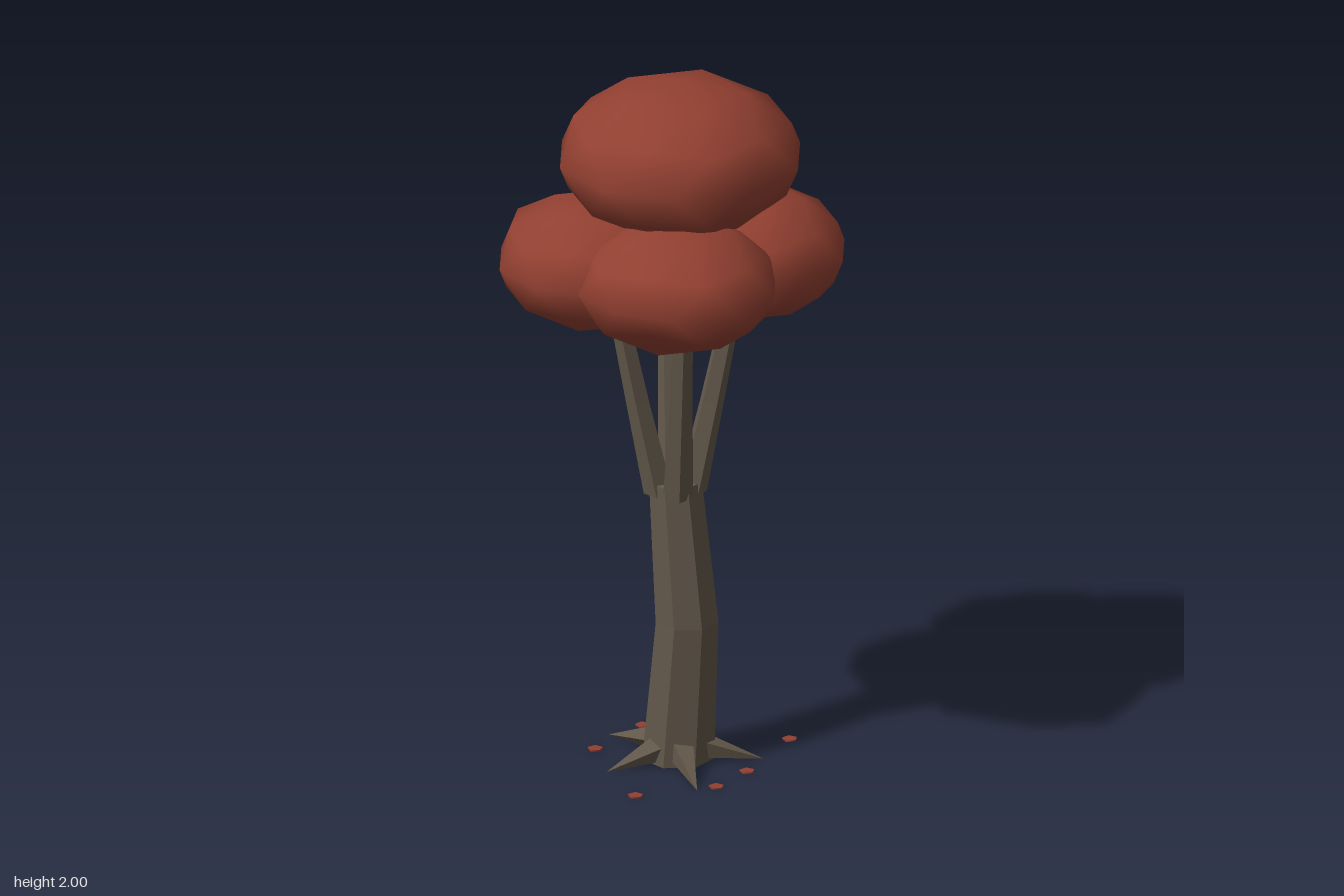
import * as THREE from 'three';
import { mergeVertices } from 'three/addons/utils/BufferGeometryUtils.js';

// Tapered limb with level rings: each ring is [x, y, z, radius], from bottom to top
function limb(rings, sides, turn = 0) {
  const rows = rings.length - 1;
  const geo = new THREE.CylinderGeometry(1, 1, rows, sides, rows);
  geo.rotateY(turn);
  const p = geo.attributes.position;
  for (let i = 0; i < p.count; i++) {
    const [x, y, z, r] = rings[Math.round(p.getY(i) + rows / 2)];
    p.setXYZ(i, x + p.getX(i) * r, y, z + p.getZ(i) * r);
  }
  geo.computeVertexNormals();
  return geo;
}

// Root: a four-sided spike from the trunk to a tip on the ground
function root(x, z) {
  const tip = new THREE.Vector3(x, 0.004, z);
  const start = new THREE.Vector3(x * 0.2, 0.045, z * 0.2);
  const along = tip.clone().sub(start);
  const geo = new THREE.ConeGeometry(0.042, along.length(), 4);
  geo.applyQuaternion(new THREE.Quaternion().setFromUnitVectors(
    new THREE.Vector3(0, 1, 0), along.clone().normalize()));
  const mid = start.add(tip).multiplyScalar(0.5);
  geo.translate(mid.x, mid.y, mid.z);
  const p = geo.attributes.position;
  for (let i = 0; i < p.count; i++) p.setY(i, Math.max(0.002, p.getY(i)));
  geo.computeVertexNormals();
  return geo;
}

// Foliage clump: a squashed ball, with corners near given directions pulled in or out
function clump(radius, height, pulls) {
  let geo = new THREE.IcosahedronGeometry(1, 1);
  geo.rotateZ(Math.atan(2 / (1 + Math.sqrt(5))));
  geo.deleteAttribute('uv');
  geo.deleteAttribute('normal');
  geo = mergeVertices(geo, 1e-3);
  const p = geo.attributes.position;
  const v = new THREE.Vector3();
  for (let i = 0; i < p.count; i++) {
    v.fromBufferAttribute(p, i);
    let f = 1;
    for (const [x, y, z, k] of pulls) {
      if (v.dot(new THREE.Vector3(x, y, z).normalize()) > 0.96) f = k;
    }
    p.setXYZ(i, v.x * radius * f, v.y * height * (f < 1 ? 1 : f > 1 ? 1.03 : 1), v.z * radius * f);
  }
  geo.computeVertexNormals();
  return geo;
}

export function createModel() {
  const bark = new THREE.MeshStandardMaterial({ color: 0x62574a, flatShading: true });
  bark.name = 'bark';
  const foliage = new THREE.MeshStandardMaterial({ color: 0x924031 });
  foliage.name = 'red foliage';
  const tree = new THREE.Group();
  tree.name = 'tree';
  const add = (name, geo, mat, x = 0, y = 0, z = 0) => {
    const mesh = new THREE.Mesh(geo, mat);
    mesh.name = name;
    mesh.position.set(x, y, z);
    tree.add(mesh);
  };

  // Trunk with a slight bend
  add('trunk', limb([
    [-0.01, 0, -0.015, 0.102],
    [0.022, 0.41, -0.014, 0.089],
    [-0.017, 0.815, -0.013, 0.075],
  ], 7, 0.25), bark);

  // Four branches spreading to the corners
  for (const sx of [-1, 1]) {
    for (const sz of [-1, 1]) {
      const at = (d, y, r) => [-0.017 + sx * d, y, -0.013 + sz * d, r];
      add('branch', limb([
        at(0.031, 0.78, 0.044), at(0.072, 1.05, 0.035), at(0.125, 1.42, 0.026),
      ], 5, Math.atan2(sx, sz)), bark);
    }
  }

  // Five roots
  const tips = [[0.2, 0.17], [-0.085, 0.21], [0.195, -0.135], [-0.1, -0.245], [-0.255, -0.02]];
  for (const [x, z] of tips) add('root', root(x, z), bark);

  // Crown: four lower clumps and one on top
  add('topClump', clump(0.345, 0.22, [[0.89, -0.447, 0, 0.9]]), foliage, 0, 1.78, -0.012);
  add('frontLeftClump', clump(0.285, 0.185, [
    [0.31, -0.447, 0.85, 0.78], [0.951, 0, 0.309, 1.15], [0.588, 0, 0.809, 1.05],
  ]), foliage, 0.125, 1.485, 0.165);
  add('frontRightClump', clump(0.28, 0.185, [
    [-0.89, 0.447, 0, 1.1], [-0.85, -0.526, 0, 1.12],
  ]), foliage, -0.16, 1.485, 0.155);
  add('backLeftClump', clump(0.275, 0.185, []), foliage, 0.125, 1.485, -0.16);
  add('backRightClump', clump(0.288, 0.185, [
    [-0.72, -0.447, 0.53, 0.85],
  ]), foliage, -0.158, 1.485, -0.167);

  // Fallen leaves on the ground
  const leaves = [[-0.22, 0.085], [0.085, 0.3], [0.22, 0.11], [0.215, -0.035],
    [0.16, -0.3], [-0.14, -0.27], [-0.225, -0.137]];
  leaves.forEach(([x, z], i) => {
    const geo = new THREE.CylinderGeometry(0.022, 0.022, 0.004, 5);
    geo.rotateY(i * 1.3);
    add('fallenLeaf', geo, foliage, x, 0.003, z);
  });
  return tree;
}
